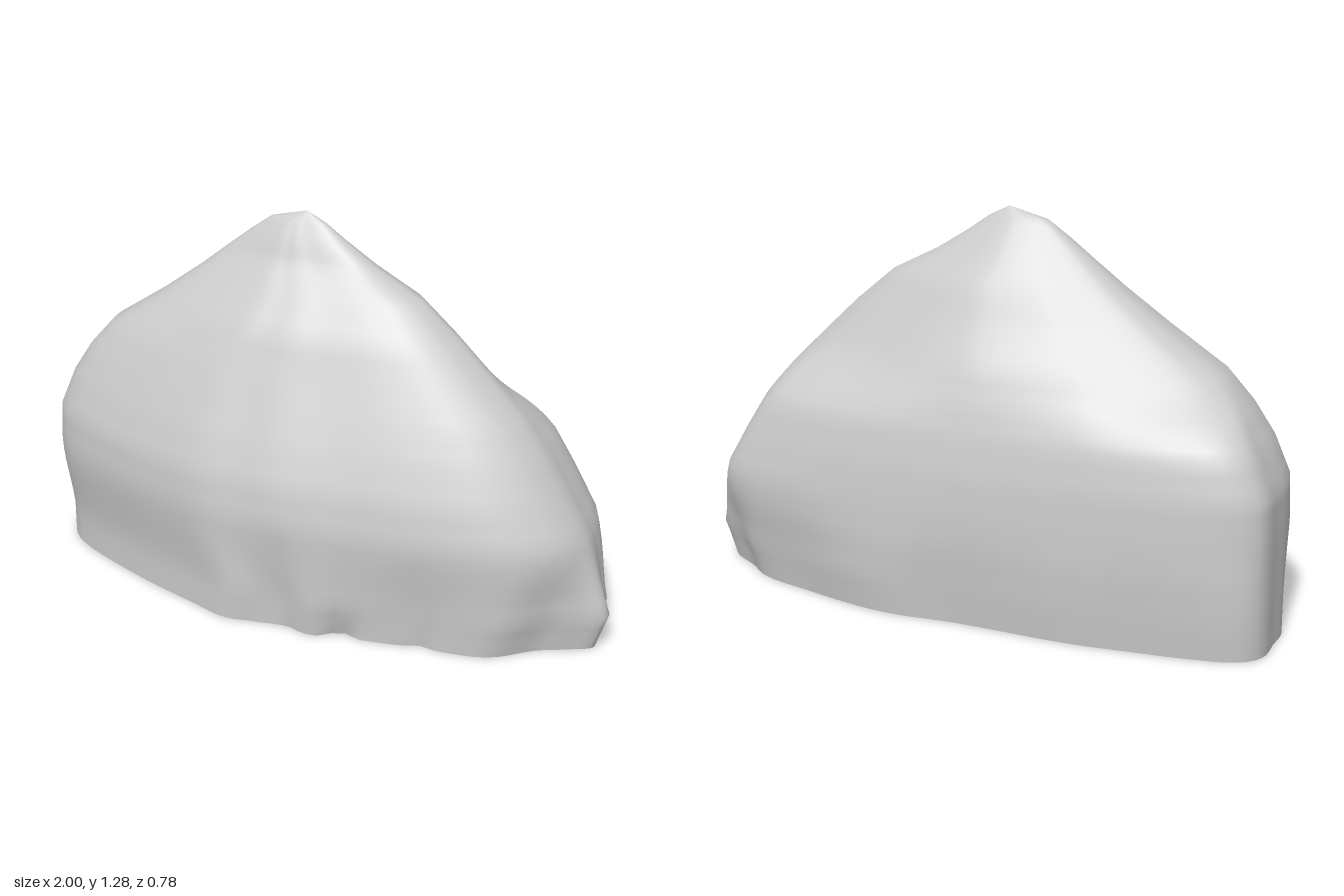
import * as THREE from 'three';

// Ground outline [x, z], from the left end along the back, round the tip and back along the front
const FOOT = [
  [-1, -0.12], [-0.995, -0.24], [-0.94, -0.305], [-0.8, -0.345], [-0.6, -0.37], [-0.4, -0.39],
  [0, -0.385], [0.2, -0.4], [0.35, -0.385], [0.55, -0.335], [0.75, -0.275], [0.84, -0.2],
  [0.95, -0.12], [0.96, -0.07], [1, 0], [0.92, 0.06], [0.84, 0.11], [0.72, 0.22], [0.5, 0.27],
  [0.25, 0.325], [0.1, 0.37], [-0.03, 0.36], [-0.15, 0.385], [-0.3, 0.35], [-0.6, 0.265],
  [-0.88, 0.15], [-0.955, 0.08], [-1, -0.02],
];

// Front half of the outline above the foot
const UPPER_FRONT = [
  [1, 0], [0.98, 0.07], [0.94, 0.13], [0.82, 0.22], [0.6, 0.29], [0.3, 0.34], [0.1, 0.375],
  [-0.05, 0.38], [-0.2, 0.385], [-0.35, 0.36], [-0.62, 0.29], [-0.88, 0.19], [-0.97, 0.11], [-1, 0],
];

// Broad shoulders with full back corners
const SHOULDER = [
  [-1, -0.12], [-0.99, -0.24], [-0.93, -0.3], [-0.8, -0.345], [-0.6, -0.375], [-0.4, -0.39],
  [0, -0.4], [0.2, -0.4], [0.4, -0.39], [0.6, -0.365], [0.8, -0.32], [0.92, -0.265],
  [0.97, -0.18], [0.99, -0.08], ...UPPER_FRONT,
];

// Crest, where the back narrows towards both ends
const CREST = [
  [-1, -0.05], [-0.98, -0.1], [-0.92, -0.16], [-0.8, -0.22], [-0.6, -0.29], [-0.4, -0.35],
  [0, -0.4], [0.2, -0.385], [0.4, -0.345], [0.6, -0.28], [0.8, -0.2], [0.9, -0.14],
  [0.96, -0.08], [0.99, -0.04], ...UPPER_FRONT,
];

// Extents per height: [y, left x, right x, front z, back z]
const LEVELS = [
  [0, -1, 0.96, 0.38, -0.37], [0.12, -1, 1, 0.385, -0.385], [0.25, -1, 0.955, 0.387, -0.392],
  [0.38, -1, 0.91, 0.39, -0.388], [0.5, -0.995, 0.84, 0.375, -0.38], [0.62, -0.945, 0.765, 0.335, -0.36],
  [0.72, -0.88, 0.69, 0.295, -0.335], [0.82, -0.79, 0.59, 0.255, -0.3], [0.94, -0.61, 0.465, 0.205, -0.235],
  [1.05, -0.46, 0.335, 0.13, -0.185], [1.13, -0.36, 0.18, 0.07, -0.135], [1.2, -0.27, 0.07, 0.04, -0.085],
  [1.25, -0.2, 0, 0.012, -0.048], [1.285, -0.07, -0.07, -0.015, -0.015],
];

const SIDES = 112;
const STEPS = 3;

// Flutes worn into the foot of the front: [x, half width, depth, height]
const FLUTES = [[0.04, 0.09, 0.03, 0.38], [0.21, 0.06, 0.04, 0.1], [0.46, 0.06, 0.02, 0.35]];

// Joins equal loops of points into a band
function skin(loops) {
  const n = loops[0].length, index = [];
  for (let j = 0; j < loops.length - 1; j++) {
    for (let i = 0; i < n; i++) {
      const a = j * n + i, b = j * n + (i + 1) % n;
      index.push(a, a + n, b, b, a + n, b + n);
    }
  }
  const geometry = new THREE.BufferGeometry().setFromPoints(loops.flat());
  geometry.setIndex(index);
  geometry.computeVertexNormals();
  return geometry;
}

// Samples a smooth closed curve through an outline
function sample(outline) {
  const curve = new THREE.CatmullRomCurve3(
    outline.map(([x, z]) => new THREE.Vector3(x, 0, z)), true, 'centripetal');
  return Array.from({ length: SIDES }, (_, i) => curve.getPoint(i / SIDES));
}

// Interpolates between two height levels
function levelAt(t) {
  const k = Math.min(Math.floor(t), LEVELS.length - 2);
  return LEVELS[k].map((v, c) => THREE.MathUtils.lerp(v, LEVELS[k + 1][c], t - k));
}

export function createModel() {
  const group = new THREE.Group();
  group.name = 'rock';
  const material = new THREE.MeshStandardMaterial({ color: 0xcccccc, side: THREE.DoubleSide });
  const [foot, shoulder, crest] = [FOOT, SHOULDER, CREST].map(sample);

  // Outer shell: foot, shoulder and crest outlines blend and shrink to the peak
  const loops = [];
  const count = (LEVELS.length - 1) * STEPS;
  for (let j = 0; j <= count; j++) {
    const [y, left, right, front, back] = levelAt(j / STEPS);
    const middle = -0.015 * y / 1.285;
    const toShoulder = THREE.MathUtils.smoothstep(y, 0.08, 0.38);
    const toCrest = THREE.MathUtils.smoothstep(y, 0.62, 0.84);
    loops.push(foot.map((f, i) => {
      const p = f.clone().lerp(shoulder[i], toShoulder).lerp(crest[i], toCrest);
      const x = left + (right - left) * (p.x + 1) / 2;
      let z = p.z > 0
        ? middle + (front - middle) * p.z / 0.385
        : middle + (back - middle) * p.z / -0.4;
      if (p.z > 0.08) {
        for (const [fx, width, depth, height] of FLUTES) {
          const across = Math.max(0, 1 - Math.abs(x - fx) / width);
          z -= depth * across * Math.max(0, 1 - y / height);
        }
      }
      return new THREE.Vector3(x, y, z);
    }));
  }
  const shell = new THREE.Mesh(skin(loops), material);
  shell.name = 'rockShell';
  group.add(shell);

  // Lip turned inward round the open underside
  const inner = loops[0].map((p) => new THREE.Vector3(p.x * 0.95, 0.03, p.z * 0.87));
  const lip = new THREE.Mesh(skin([inner, loops[0]]), material);
  lip.name = 'bottomLip';
  group.add(lip);

  return group;
}
